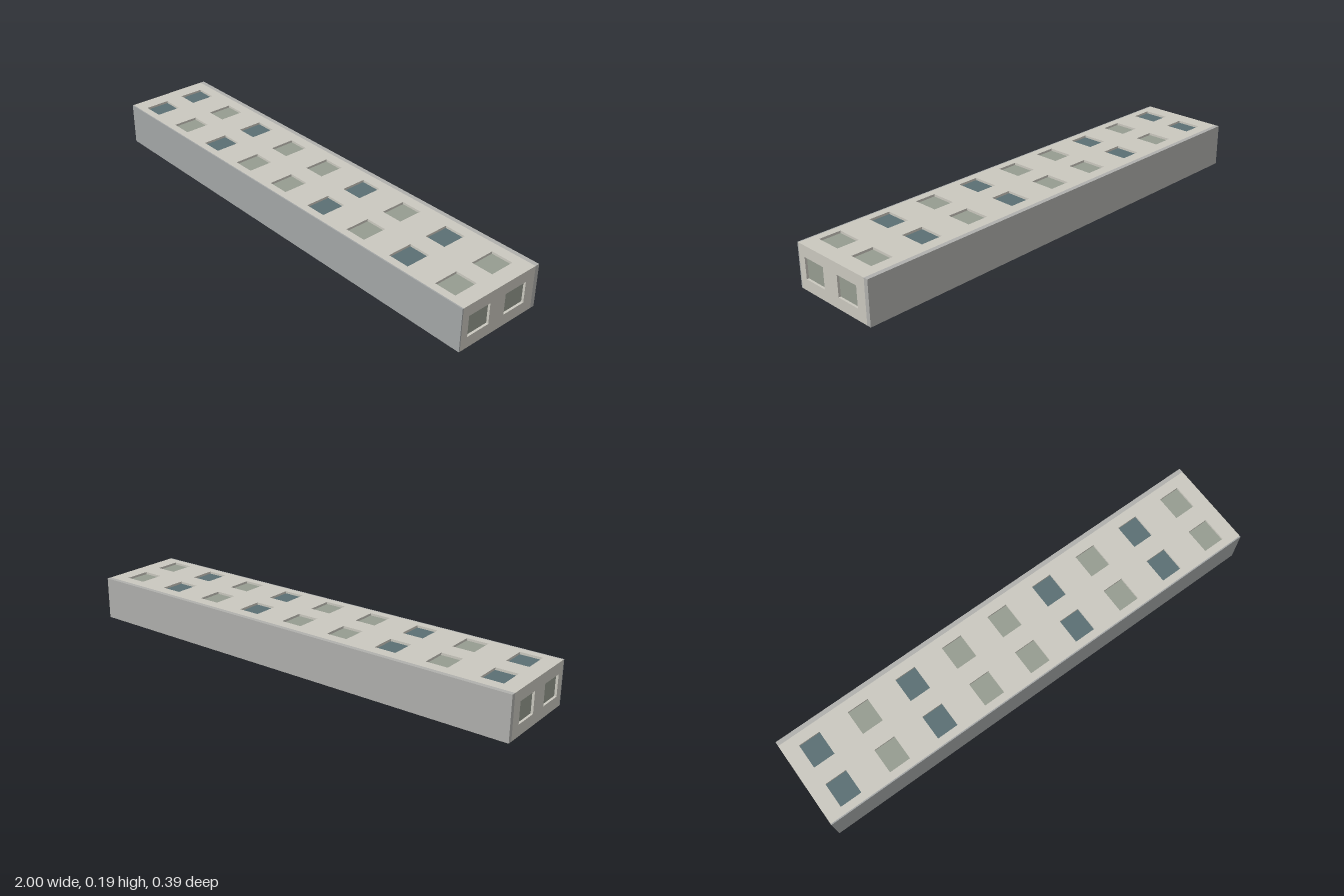
import * as THREE from 'three';

const L = 2, H = 0.182, FRONT = 0.197, BACK = -0.197;
const ROOF_T = 0.005, BASE_T = 0.019, DEPTH = 0.01;
const WIN_Z = [0.107, -0.079];   // the two storeys
const WIN_DZ = 0.107;            // window size along z
const COLUMNS = 9, BLUE_COLUMNS = [0, 2, 5, 7];
const TILT = 0.0035;

const mat = (color) => new THREE.MeshStandardMaterial({ color });
const wallMat = mat(0xcac8bf), roofMat = mat(0xa3a6a6), baseMat = mat(0xb0b0ad);
const paleGlass = mat(0x969c90), blueGlass = mat(0x5b6f73);

// Counter-clockwise rectangle traced on a shape or a hole
function rect(path, u0, z0, u1, z1) {
  path.moveTo(u0, z0);
  path.lineTo(u1, z0);
  path.lineTo(u1, z1);
  path.lineTo(u0, z1);
  path.closePath();
  return path;
}

// Wall with recessed windows; local y runs along the model's z, local z points out along normal
function makeWall(name, length, windows, normal, offset) {
  const wall = new THREE.Group();
  wall.name = name;
  const shape = rect(new THREE.Shape(), -length / 2, BACK + BASE_T, length / 2, FRONT - ROOF_T);
  for (const { u, z, w, glass } of windows) {
    shape.holes.push(rect(new THREE.Path(), u - w / 2, z - WIN_DZ / 2, u + w / 2, z + WIN_DZ / 2));
    const pane = new THREE.Mesh(new THREE.PlaneGeometry(w, WIN_DZ), glass);
    pane.position.set(u, z, 0.0005);
    pane.name = 'windowPane';
    wall.add(pane);
  }
  const panel = new THREE.Mesh(
    new THREE.ExtrudeGeometry(shape, { depth: DEPTH, bevelEnabled: false }), wallMat);
  panel.name = 'wallPanel';
  wall.add(panel);

  const up = new THREE.Vector3(0, 0, 1);
  const along = new THREE.Vector3().crossVectors(up, normal);
  wall.quaternion.setFromRotationMatrix(new THREE.Matrix4().makeBasis(along, up, normal));
  wall.position.copy(normal).multiplyScalar(offset - DEPTH);
  return wall;
}

export function createModel() {
  const model = new THREE.Group();
  model.name = 'lyingBuilding';
  const block = new THREE.Group();
  block.name = 'buildingBlock';
  model.add(block);

  // Long walls: nine window columns on two storeys
  const longWindows = [];
  for (let i = 0; i < COLUMNS; i++)
    for (const z of WIN_Z)
      longWindows.push({
        u: 0.888 - 0.222 * i, z, w: 0.092,
        glass: BLUE_COLUMNS.includes(i) ? blueGlass : paleGlass,
      });
  block.add(makeWall('upperWall', L, longWindows, new THREE.Vector3(0, 1, 0), H / 2));
  block.add(makeWall('lowerWall', L, longWindows, new THREE.Vector3(0, -1, 0), H / 2));

  // Short walls: one window per storey
  const endWindows = WIN_Z.map((z) => ({ u: 0, z, w: 0.088, glass: paleGlass }));
  const endLength = H - 2 * DEPTH;
  block.add(makeWall('leftEndWall', endLength, endWindows, new THREE.Vector3(1, 0, 0), L / 2));
  block.add(makeWall('rightEndWall', endLength, endWindows, new THREE.Vector3(-1, 0, 0), L / 2));

  // Roof and base slabs closing the front and back
  const addSlab = (name, thickness, z, material) => {
    const slab = new THREE.Mesh(new THREE.BoxGeometry(L, H, thickness), material);
    slab.position.z = z;
    slab.name = name;
    block.add(slab);
  };
  addSlab('roofSlab', ROOF_T, FRONT - ROOF_T / 2, roofMat);
  addSlab('baseSlab', BASE_T, BACK + BASE_T / 2, baseMat);

  // The block rests slightly tilted
  block.rotation.z = TILT;
  block.position.y = H / 2 + TILT * L / 2;
  return model;
}
